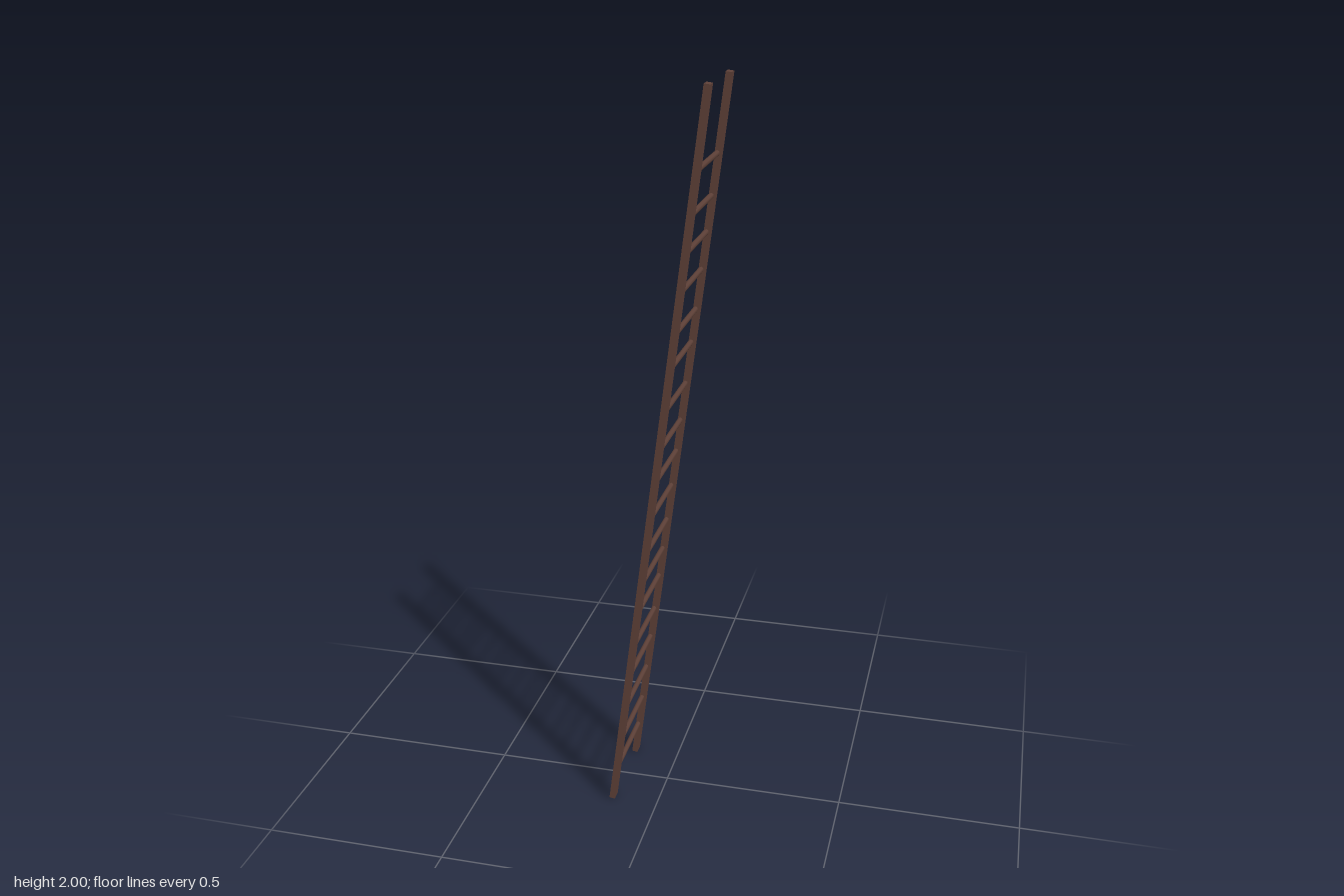
import * as THREE from 'three';

export function createModel() {
  const model = new THREE.Group();
  model.name = 'ladder';
  const wood = new THREE.MeshStandardMaterial({ color: 0x5d4037 });
  wood.name = 'darkWood';

  // leaning frame: everything tilts about the middle of the ladder
  const tilt = Math.atan2(0.256, 2);
  const railLength = 2.009;

  // two side rails, the back one set a hair lower
  const railGeometry = new THREE.BoxGeometry(0.016, railLength, 0.031);
  for (const [name, z, y] of [['frontRail', 0.1235, 1.002], ['backRail', -0.1255, 0.998]]) {
    const rail = new THREE.Mesh(railGeometry, wood);
    rail.name = name;
    rail.position.set(0, y, z);
    rail.rotation.z = -tilt;
    model.add(rail);
  }

  // hand-spaced rungs between the rails
  const heights = [0.1, 0.193, 0.298, 0.4, 0.492, 0.599, 0.685, 0.775, 0.88,
    0.983, 1.074, 1.18, 1.296, 1.387, 1.494, 1.593, 1.687, 1.795];
  const rungGeometry = new THREE.CylinderGeometry(0.0075, 0.0075, 0.236, 8);
  rungGeometry.rotateX(Math.PI / 2);
  heights.forEach((y, i) => {
    const rung = new THREE.Mesh(rungGeometry, wood);
    rung.name = `rung${i + 1}`;
    rung.position.set((y - 1) * Math.tan(tilt) - 0.0015, y, -0.001);
    rung.rotation.z = -tilt;
    model.add(rung);
  });
  return model;
}
